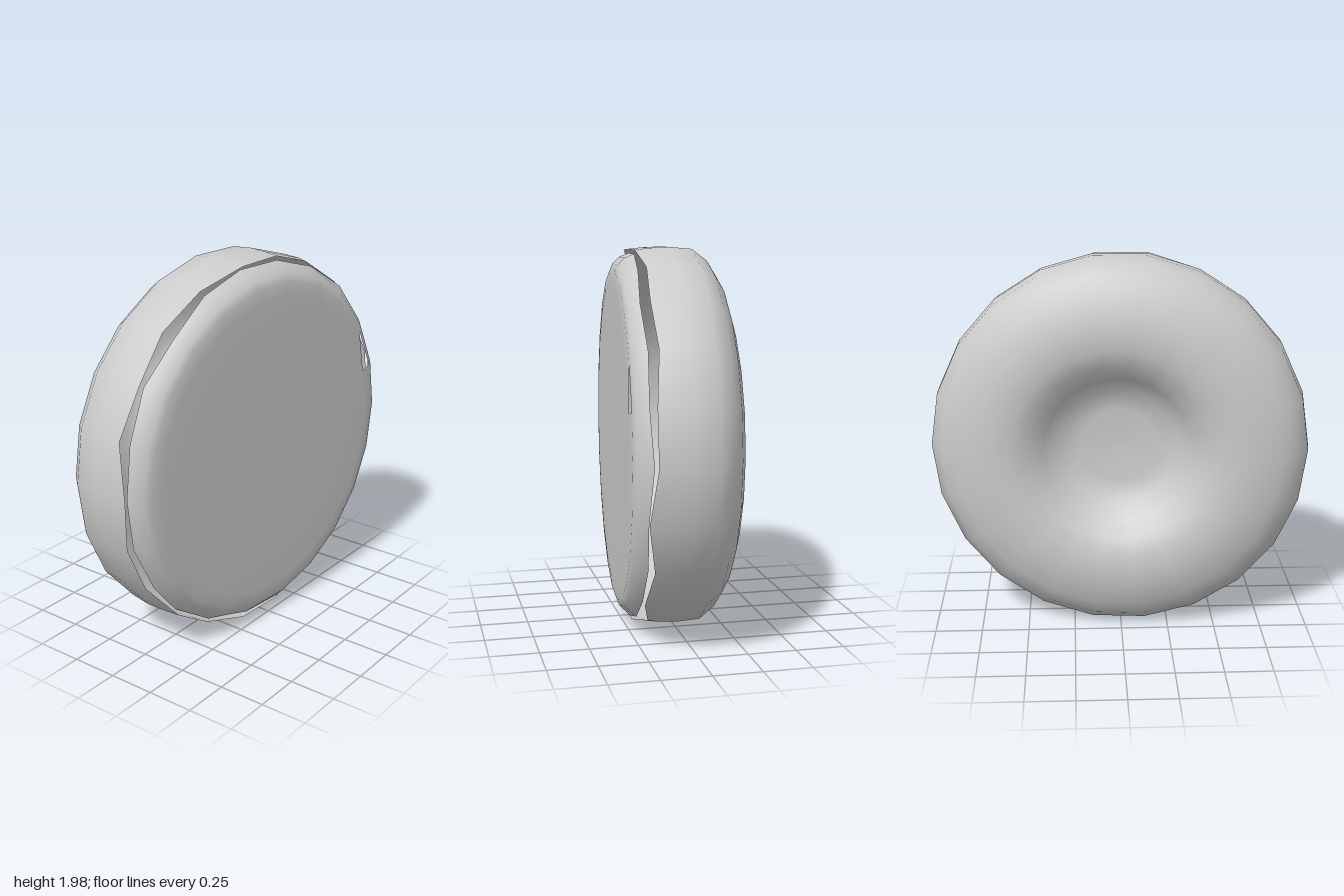
import * as THREE from 'three';

const SIDES = 22;
const material = new THREE.MeshStandardMaterial({ color: 0xcccccc, side: THREE.DoubleSide });

// Small repeatable pseudo-random value in -1..1
const wobble = (i, seed) => {
  const s = Math.sin((i % SIDES) * 12.99 + seed * 78.2) * 437.58;
  return (s - Math.floor(s)) * 2 - 1;
};

// Revolve [axial, radius] pairs, with the torn ring of points shifted along the axis
function turned(profile, tornRing, amount, seed) {
  const points = profile.map(([a, r]) => new THREE.Vector2(r, a));
  const geometry = new THREE.LatheGeometry(points, SIDES);
  const pos = geometry.attributes.position;
  for (let i = 0; i <= SIDES; i++) {
    const k = i * profile.length + tornRing;
    pos.setY(k, pos.getY(k) + amount * wobble(i, seed));
  }
  return geometry;
}

function part(name, geometry) {
  geometry.rotateZ(-Math.PI / 2); // axle along x
  const mesh = new THREE.Mesh(geometry, material);
  mesh.name = name;
  return mesh;
}

export function createModel() {
  const group = new THREE.Group();
  group.name = 'wheel';
  const wheel = new THREE.Group();
  wheel.name = 'tiltedWheel';

  // Outer shell: dished hub, rounded sidewall, tread and a ragged open lip
  const shell = [
    [-0.08, 0], [-0.085, 0.2], [-0.11, 0.31], [-0.19, 0.39], [-0.26, 0.47],
    [-0.29, 0.56], [-0.295, 0.65], [-0.285, 0.74], [-0.25, 0.85],
    [-0.2, 0.93], [-0.12, 0.99], [0.0, 1.0], [0.1, 0.995], [0.18, 0.985],
  ];
  wheel.add(part('tireShell', turned(shell, shell.length - 1, 0.04, 1)));

  // Inner cover: flat disc with a rounded rim
  const cover = [
    [0.19, 0.965], [0.225, 0.945], [0.26, 0.91], [0.275, 0.875],
    [0.28, 0.81], [0.283, 0.6], [0.283, 0],
  ];
  const coverGeometry = turned(cover, 0, 0.02, 3);
  // Small slit near the rim: leave out one triangle
  const index = Array.from(coverGeometry.index.array);
  index.splice((12 * (cover.length - 1) + 3) * 6, 3);
  coverGeometry.setIndex(index);
  wheel.add(part('innerCover', coverGeometry));

  // Steered slightly about the vertical
  wheel.rotation.y = -0.083;
  wheel.position.y = 1;
  group.add(wheel);
  return group;
}
